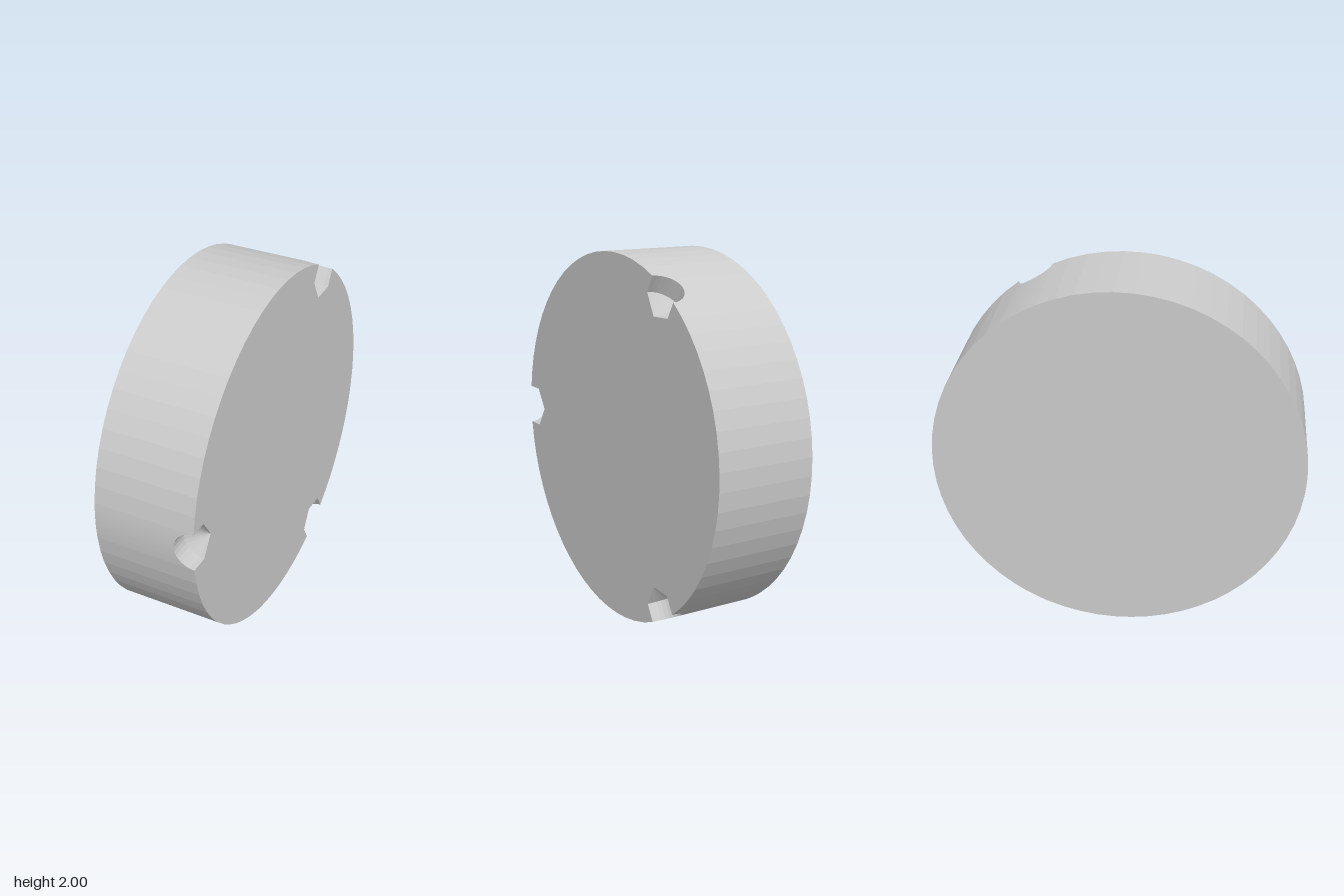
import * as THREE from 'three';

const H = 0.278;          // half thickness of the disc
const R = 0.11;           // drilled hole radius
const FLOOR = 0.895;      // radius where the straight bore ends
const TIP = 0.825;        // radius of the cone tip
const HOLES = [0, 1, 2].map(i => i * Math.PI * 2 / 3);
const BORE_STEPS = 14, ARC_STEPS = 19;

// Point at radial u, tangential t around the axle, relative to direction a.
const at = (a, u, t, x) => new THREE.Vector3(
  x, 1 + u * Math.sin(a) + t * Math.cos(a), u * Math.cos(a) - t * Math.sin(a));

// Half-circle section of a bore, centred on the +x face.
const bore = Array.from({ length: BORE_STEPS + 1 }, (_, i) => {
  const p = Math.PI * i / BORE_STEPS;
  return { t: -R * Math.cos(p), x: H - R * Math.sin(p) };
});

function fromPolygons(polygons) {
  const pts = [];
  for (const [a, b, c, d] of polygons) {
    pts.push(a, b, c);
    if (d) pts.push(a, c, d);
  }
  const g = new THREE.BufferGeometry().setFromPoints(pts);
  g.computeVertexNormals();
  return g;
}

export function createModel() {
  const group = new THREE.Group();
  group.name = 'notchedDisc';
  const material = new THREE.MeshStandardMaterial({ color: 0xcccccc, flatShading: true });
  const add = (name, geometry) => {
    const mesh = new THREE.Mesh(geometry, material);
    mesh.name = name;
    group.add(mesh);
  };

  // Rim samples: the bitten edge at each hole, then the plain arc to the next.
  const rim = [], faceOutline = [];
  const half = Math.asin(R), arc = Math.PI * 2 / 3 - 2 * half;
  for (const a of HOLES) {
    for (const { t, x } of bore) rim.push({ a: a + Math.asin(t), x });
    faceOutline.push(at(a, Math.cos(half), -R, H), at(a, FLOOR, -R, H),
      at(a, TIP, 0, H), at(a, FLOOR, R, H), at(a, Math.cos(half), R, H));
    for (let i = 1; i < ARC_STEPS; i++) {
      const b = a + half + arc * i / ARC_STEPS;
      rim.push({ a: b, x: H });
      faceOutline.push(at(b, 1, 0, H));
    }
  }

  // Outer wall
  add('rimWall', fromPolygons(rim.map((p, i) => {
    const q = rim[(i + 1) % rim.length];
    return [at(p.a, 1, 0, -H), at(p.a, 1, 0, p.x), at(q.a, 1, 0, q.x), at(q.a, 1, 0, -H)];
  })));

  // Notched face and plain face
  const left = new THREE.Shape(faceOutline.map(p => new THREE.Vector2(-p.z, p.y)));
  add('notchedFace', new THREE.ShapeGeometry(left).rotateY(Math.PI / 2).translate(H, 0, 0));
  const right = new THREE.Shape(rim.map(({ a }) => new THREE.Vector2(Math.cos(a), 1 + Math.sin(a))));
  add('plainFace', new THREE.ShapeGeometry(right).rotateY(-Math.PI / 2).translate(-H, 0, 0));

  // Half bores with conical ends
  HOLES.forEach((a, n) => {
    const polygons = [];
    const outer = p => at(a, Math.sqrt(1 - p.t * p.t), p.t, p.x);
    const inner = p => at(a, FLOOR, p.t, p.x);
    for (let i = 0; i < BORE_STEPS; i++) {
      const p = bore[i], q = bore[i + 1];
      polygons.push([outer(p), inner(p), inner(q), outer(q)]);
      polygons.push([inner(p), at(a, TIP, 0, H), inner(q)]);
    }
    add('drilledNotch' + (n + 1), fromPolygons(polygons));
  });
  return group;
}
